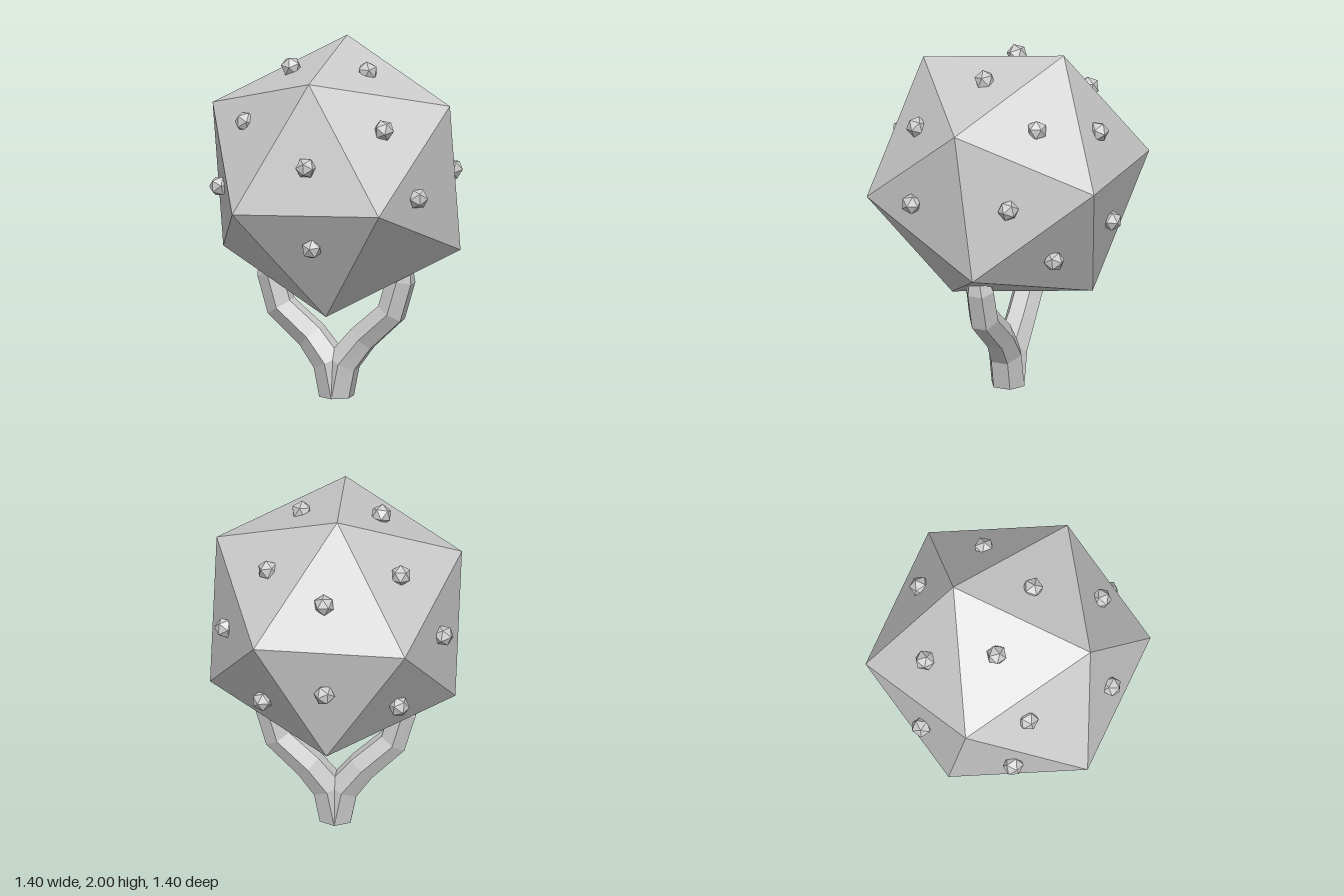
import * as THREE from 'three';

const material = new THREE.MeshStandardMaterial({ color: 0xcccccc, flatShading: true });
const SIDES = 6;

// Branch spine: x, y, z, radius
const SPINE = [
  [0, 0, 0, 0.1],
  [0.04, 0.2, 0, 0.1],
  [0.15, 0.34, -0.01, 0.09],
  [0.325, 0.5, 0.005, 0.088],
  [0.38, 0.69, 0.005, 0.085],
  [0.39, 0.75, 0.01, 0.065],
];

// Six-sided limb swept along the spine, capped at both ends
function branchGeometry(side) {
  const points = SPINE.map(([x, y, z]) => new THREE.Vector3(x * side, y, z));
  const last = points.length - 1;
  const positions = [];
  const index = [];
  points.forEach((p, i) => {
    const tangent = new THREE.Vector3(0, 1, 0);
    if (i > 0) {
      tangent.subVectors(p, points[i - 1]).normalize();
      if (i < last) tangent.add(points[i + 1].clone().sub(p).normalize());
      tangent.setZ(0).normalize();
    }
    for (let j = 0; j < SIDES; j++) {
      const a = ((j + 0.5) / SIDES) * Math.PI * 2;
      const r = SPINE[i][3];
      positions.push(
        p.x + tangent.y * Math.cos(a) * r,
        p.y - tangent.x * Math.cos(a) * r,
        p.z + Math.sin(a) * r
      );
    }
  });
  const bottom = positions.length / 3;
  const top = bottom + 1;
  positions.push(...points[0].toArray(), ...points[last].toArray());
  for (let j = 0; j < SIDES; j++) {
    const k = (j + 1) % SIDES;
    for (let i = 0; i < last; i++) {
      const a = i * SIDES + j, b = i * SIDES + k;
      index.push(a, a + SIDES, b, b, a + SIDES, b + SIDES);
    }
    index.push(bottom, j, k, top, last * SIDES + k, last * SIDES + j);
  }
  const indexed = new THREE.BufferGeometry();
  indexed.setAttribute('position', new THREE.Float32BufferAttribute(positions, 3));
  indexed.setIndex(index);
  const geometry = indexed.toNonIndexed();
  geometry.computeVertexNormals();
  return geometry;
}

// Fruit centres scattered over the crown faces
const FRUITS = [
  [0.02, 1.43, 0.64], [0.035, 0.955, 0.575],
  [0.4, 1.62, 0.385], [-0.43, 1.61, 0.345],
  [0.2, 1.88, 0.055], [-0.25, 1.88, 0.055],
  [0.585, 1.23, 0.335], [-0.585, 1.23, 0.33],
  [0.35, 1.69, -0.33], [-0.4, 1.69, -0.32],
  [0.01, 1.6, -0.56], [0, 1.075, -0.635],
  [0.6, 1.285, -0.265], [-0.63, 1.28, -0.225],
  [0.37, 0.93, -0.445], [-0.4, 0.92, -0.42],
];

export function createModel() {
  const group = new THREE.Group();
  const add = (name, geometry) => {
    const mesh = new THREE.Mesh(geometry, material);
    mesh.name = name;
    group.add(mesh);
    return mesh;
  };

  // Forked trunk
  add('leftBranch', branchGeometry(1));
  add('rightBranch', branchGeometry(-1));

  // Tilted twenty-faced crown, oriented by its top edge
  const crown = add('crown', new THREE.IcosahedronGeometry(0.811, 0));
  const xAxis = new THREE.Vector3(0.04, -0.12, 0.85).normalize();
  const zAxis = xAxis.clone().cross(new THREE.Vector3(-0.02, 0.68, 0.095)).normalize();
  const yAxis = zAxis.clone().cross(xAxis);
  crown.quaternion.setFromRotationMatrix(new THREE.Matrix4().makeBasis(xAxis, yAxis, zAxis));
  crown.position.y = 1.26;

  // Small faceted fruits, each turned differently
  const fruits = new THREE.Group();
  fruits.name = 'fruits';
  const fruitGeometry = new THREE.IcosahedronGeometry(0.06, 0);
  FRUITS.forEach((p, i) => {
    const fruit = new THREE.Mesh(fruitGeometry, material);
    fruit.name = 'fruit';
    fruit.position.set(...p);
    fruit.rotation.set(i * 1.3, i * 2.1, i * 0.7);
    fruits.add(fruit);
  });
  group.add(fruits);

  return group;
}
